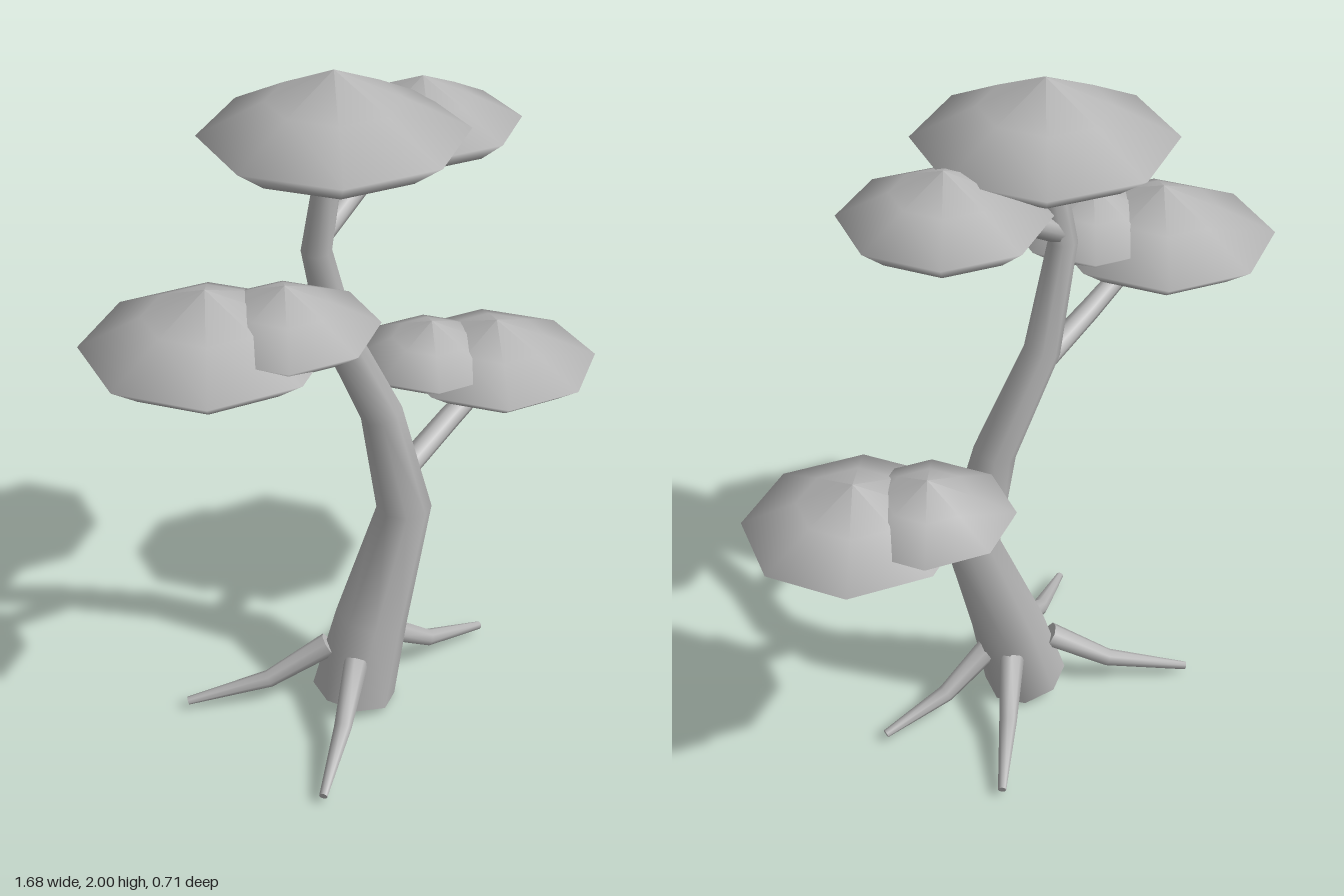
import * as THREE from 'three';

const SIDES = 8;

// Tapered limb through [x, y, z, radius] points, with crisp flat end caps
function limbGeometry(points, ref) {
  const centers = points.map(p => new THREE.Vector3(p[0], p[1], p[2]));
  const last = points.length - 1;
  const rows = [];
  const addRow = (i, r) => {
    const seg = k => centers[k + 1].clone().sub(centers[k]).normalize();
    const t = new THREE.Vector3();
    if (i > 0) t.add(seg(i - 1));
    if (i < last) t.add(seg(i));
    t.normalize();
    const u = new THREE.Vector3().crossVectors(t, ref).normalize();
    const v = new THREE.Vector3().crossVectors(t, u);
    const row = [];
    for (let j = 0; j < SIDES; j++) {
      const a = (j / SIDES) * Math.PI * 2;
      row.push(centers[i].clone().addScaledVector(u, r * Math.cos(a)).addScaledVector(v, r * Math.sin(a)));
    }
    rows.push(row);
  };
  addRow(0, 0);
  addRow(0, points[0][3]);
  points.forEach((p, i) => addRow(i, p[3]));
  addRow(last, points[last][3]);
  addRow(last, 0);

  const index = [];
  for (let i = 0; i < rows.length - 1; i++) {
    if (i === 1 || i === rows.length - 3) continue; // crease between cap and wall
    for (let j = 0; j < SIDES; j++) {
      const k = (j + 1) % SIDES;
      const a = i * SIDES + j, b = i * SIDES + k;
      index.push(a, b, a + SIDES, b, b + SIDES, a + SIDES);
    }
  }
  const g = new THREE.BufferGeometry().setFromPoints(rows.flat());
  g.setIndex(index);
  g.computeVertexNormals();
  return g;
}

// Wide eight-sided foliage pad: shallow cone above, rounded dish below
function padGeometry(r, bottom, rim, top) {
  const under = rim - bottom;
  const profile = [
    [0, bottom], [r * 0.35, bottom + under * 0.04], [r * 0.75, bottom + under * 0.26],
    [r, rim], [r * 0.5, rim + (top - rim) * 0.53], [0, top],
  ];
  return new THREE.LatheGeometry(profile.map(p => new THREE.Vector2(p[0], p[1])), SIDES);
}

export function createModel() {
  const model = new THREE.Group();
  model.name = 'tree';
  const grey = new THREE.MeshStandardMaterial({ color: 0xb4b4b4 });
  grey.name = 'plain grey';

  const add = (name, geometry) => {
    const mesh = new THREE.Mesh(geometry, grey);
    mesh.name = name;
    model.add(mesh);
    return mesh;
  };
  const Y = new THREE.Vector3(0, 1, 0);
  const Z = new THREE.Vector3(0, 0, 1);

  // Winding trunk
  add('trunk', limbGeometry([
    [-0.05, 0.03, 0.015, 0.125], [0.01, 0.28, 0.033, 0.108], [0.12, 0.63, 0.06, 0.08],
    [0.075, 0.95, 0.01, 0.06], [-0.05, 1.25, -0.045, 0.05], [-0.15, 1.53, -0.02, 0.04],
    [-0.11, 1.79, 0, 0.034],
  ], Z));

  // Branches holding the pads
  const branches = {
    lowerLeftBranch: [[0.11, 0.74, 0.05, 0.036], [0.32, 0.835, 0.06, 0.034], [0.54, 0.91, 0.065, 0.026]],
    middleRightBranch: [[-0.07, 1.2, -0.03, 0.034], [-0.25, 1.28, -0.03, 0.03], [-0.46, 1.37, -0.02, 0.025]],
    upperLeftBranch: [[-0.14, 1.56, -0.02, 0.03], [0.06, 1.68, -0.02, 0.03], [0.24, 1.74, -0.01, 0.024]],
  };
  for (const [name, pts] of Object.entries(branches)) add(name, limbGeometry(pts, Y));

  // Four spreading roots, each bending flat toward its tip
  const roots = [
    ['frontRightRoot', -0.45, 0.25], ['backRightRoot', -0.42, -0.32],
    ['backLeftRoot', 0.34, -0.28], ['frontLeftRoot', 0.43, 0.12],
  ];
  for (const [name, x, z] of roots) {
    const cx = -0.015, cz = 0.025;
    const at = (f, y, r) => [cx + (x - cx) * f, y, cz + (z - cz) * f, r];
    add(name, limbGeometry([at(0.2, 0.195, 0.036), at(0.54, 0.085, 0.026), at(1, 0.03, 0.012)], Y));
  }

  // Foliage pads: name, x, z, radius, bottom, rim, top
  const pads = [
    ['crownPad', -0.1, 0, 0.34, 1.755, 1.84, 2.0],
    ['upperLeftPad', 0.255, -0.01, 0.263, 1.685, 1.76, 1.88],
    ['middleRightLargePad', -0.525, -0.04, 0.315, 1.335, 1.415, 1.56],
    ['middleRightSmallPad', -0.385, 0.09, 0.235, 1.39, 1.45, 1.56],
    ['lowerLeftLargePad', 0.54, 0.055, 0.298, 0.865, 0.938, 1.065],
    ['lowerLeftSmallPad', 0.4, -0.075, 0.23, 0.91, 0.967, 1.073],
  ];
  for (const [name, x, z, r, bottom, rim, top] of pads) {
    add(name, padGeometry(r, bottom, rim, top)).position.set(x, 0, z);
  }
  return model;
}
